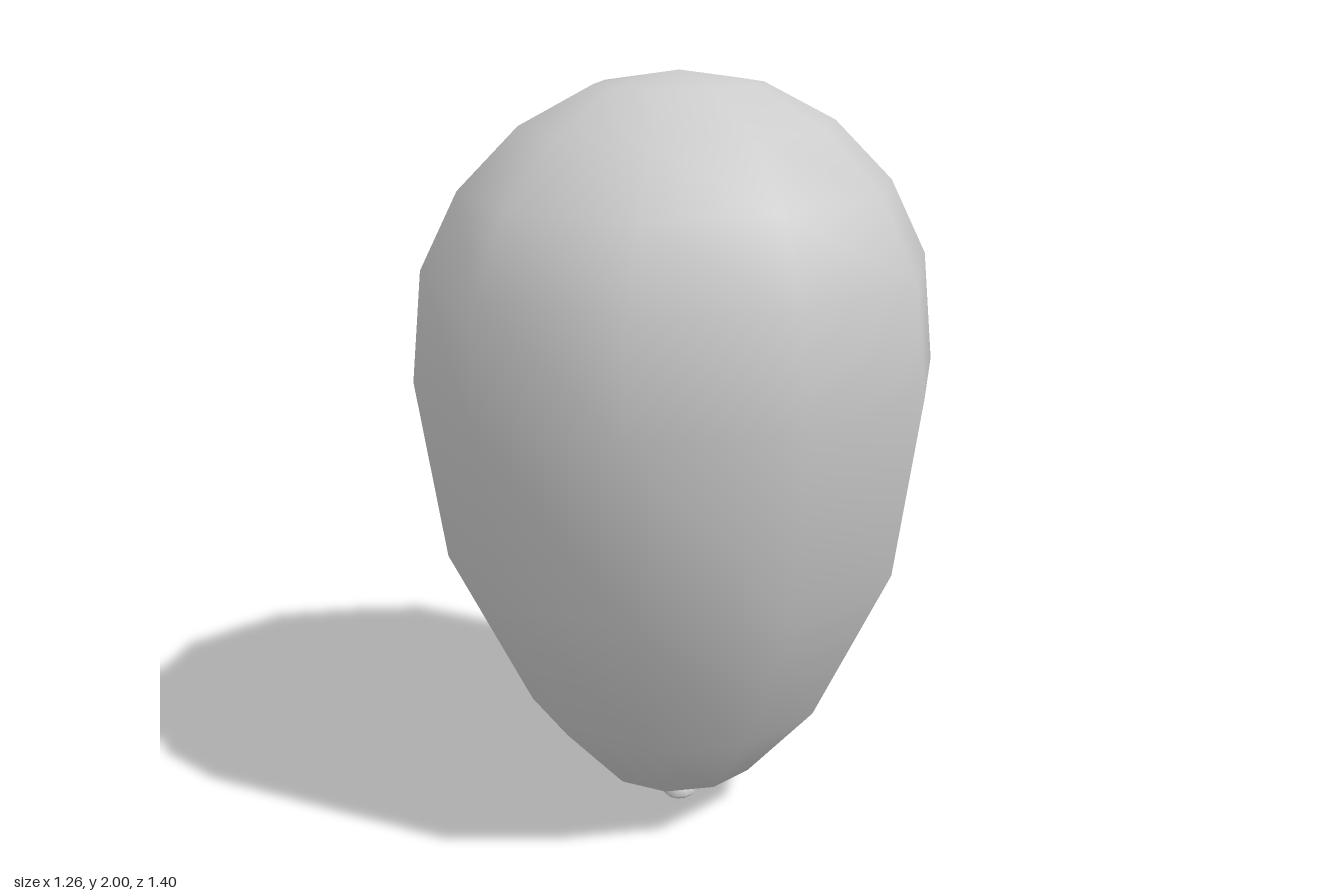
import * as THREE from 'three';
import { mergeVertices } from 'three/addons/utils/BufferGeometryUtils.js';

const SIDES = 10;
const WIDTH = 0.945; // slightly narrower across x than z

// Revolve [radius, height] pairs (bottom to top) into one smooth welded skin
function revolve(name, profile, material) {
  const points = profile.map(([r, y]) => new THREE.Vector2(r, y));
  let geometry = new THREE.LatheGeometry(points, SIDES);
  geometry.deleteAttribute('uv');
  geometry.deleteAttribute('normal');
  geometry = mergeVertices(geometry, 1e-4);
  geometry.scale(WIDTH, 1, 1);
  geometry.computeVertexNormals();
  const mesh = new THREE.Mesh(geometry, material);
  mesh.name = name;
  return mesh;
}

export function createModel() {
  const group = new THREE.Group();
  group.name = 'balloon';
  const material = new THREE.MeshStandardMaterial({ color: 0xcccccc, side: THREE.DoubleSide });

  // Inflated body, tapering to the neck
  group.add(revolve('balloonBody', [
    [0.02, 0.05], [0.22, 0.12], [0.415, 0.33], [0.63, 0.76], [0.70, 1.235],
    [0.67, 1.52], [0.57, 1.715], [0.412, 1.87], [0.22, 1.968], [0, 2],
  ], material));

  // Flared knot below the neck
  group.add(revolve('knot', [
    [0, 0.008], [0.035, 0], [0.05, 0.014], [0.036, 0.032], [0.02, 0.055],
  ], material));

  return group;
}
